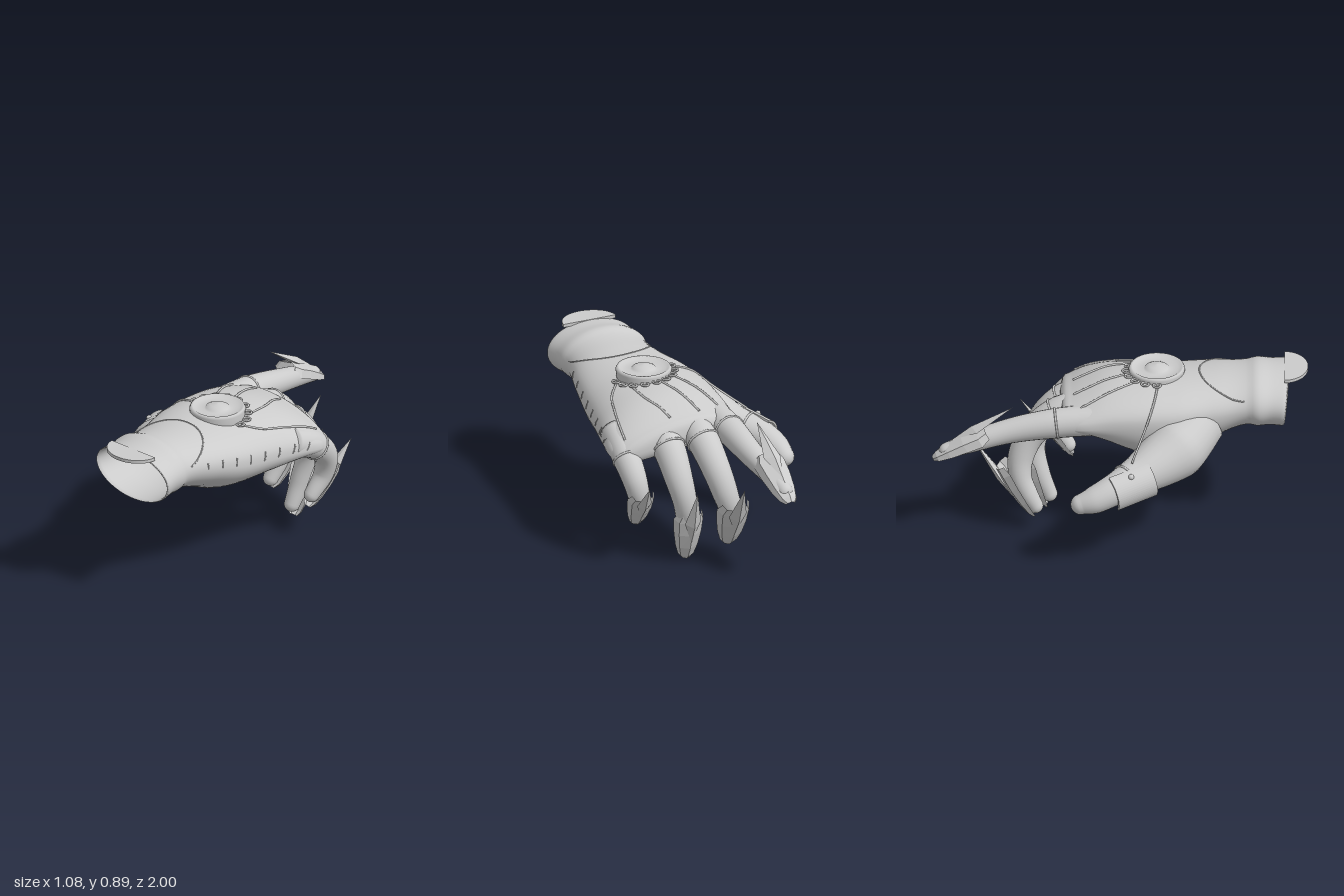
import * as THREE from 'three';
import { ConvexGeometry } from 'three/addons/geometries/ConvexGeometry.js';

const V = (x, y, z) => new THREE.Vector3(x, y, z);
const smooth = new THREE.MeshStandardMaterial({ color: 0xcccccc, side: THREE.DoubleSide });
const faceted = new THREE.MeshStandardMaterial({ color: 0xcccccc, side: THREE.DoubleSide, flatShading: true });

// Skin a list of cross-sections, closed rings or open strips
function loft(rings, closed = true) {
  const n = rings[0].length, pos = [], idx = [];
  rings.forEach(r => r.forEach(p => pos.push(p.x, p.y, p.z)));
  for (let i = 0; i < rings.length - 1; i++) {
    for (let j = 0; j < (closed ? n : n - 1); j++) {
      const a = i * n + j, b = i * n + (j + 1) % n;
      idx.push(a, a + n, b, b, a + n, b + n);
    }
  }
  const g = new THREE.BufferGeometry();
  g.setAttribute('position', new THREE.Float32BufferAttribute(pos, 3));
  g.setIndex(idx);
  g.computeVertexNormals();
  return g;
}

// Hand sections: z, left x, right x, centre y, height up, height down, tilt, droop, palm pad
const sections = [
  [0.875, -0.112, 0.397, 0.728, 0.144, 0.158, 0, 0, 0],
  [0.80, -0.105, 0.385, 0.73, 0.146, 0.155, 0, 0, 0],
  [0.715, -0.115, 0.382, 0.73, 0.157, 0.155, 0, 0, 0],
  [0.69, -0.103, 0.375, 0.73, 0.147, 0.15, 0, 0, 0],
  [0.5, -0.13, 0.41, 0.715, 0.145, 0.17, -0.005, 0.01, 0.05],
  [0.3, -0.185, 0.445, 0.69, 0.16, 0.19, -0.02, 0.02, 0.14],
  [0.1, -0.2, 0.48, 0.69, 0.155, 0.175, -0.03, 0.03, 0.13],
  [-0.08, -0.195, 0.518, 0.685, 0.138, 0.14, -0.035, 0.035, 0.05],
  [-0.2, -0.19, 0.535, 0.675, 0.108, 0.1, -0.04, 0.04, 0],
  [-0.27, -0.175, 0.515, 0.665, 0.088, 0.08, -0.045, 0.04, 0],
];
const sectionCurve = new THREE.CubicInterpolant(
  sections.map(s => -s[0]), sections.flatMap(s => s.slice(1)), 8, new Float32Array(8));

// Oval at the wrist, squarer across the back of the hand, fuller below on the thumb side
function handPoint(z, t, scale = 1, zOut = z) {
  const [x0, x1, yc, up, down, tilt, droop, pad] = sectionCurve.evaluate(-z);
  const u = Math.cos(t) * scale, s = Math.sin(t);
  const power = THREE.MathUtils.lerp(0.76, 1, THREE.MathUtils.smoothstep(z, 0.3, 0.65));
  const h = (s > 0 ? up * Math.pow(s, power) : (down + pad * (1 - u) / 2) * s) * scale;
  return V((x0 + x1) / 2 + u * (x1 - x0) / 2, yc + h + tilt * u - droop * u * u, zOut);
}
// Point on the back of the hand above x, z
function onBack(x, z, lift = 0.004) {
  const [x0, x1] = sectionCurve.evaluate(-z);
  const u = THREE.MathUtils.clamp((2 * x - x0 - x1) / (x1 - x0), -1, 1);
  const p = handPoint(z, Math.acos(u));
  p.y += lift;
  return p;
}

function handGeometry() {
  const rings = [];
  // the wrist opening leans back towards its lower edge
  const ring = (z, scale, zOut = z) => rings.push(Array.from({ length: 56 }, (_, j) => {
    const t = j / 56 * Math.PI * 2, p = handPoint(z, t, scale, zOut);
    p.z += 0.016 * (Math.sin(t) - 0.3) * THREE.MathUtils.smoothstep(z, 0.72, 0.875);
    return p;
  }));
  // hollow cuff, then the outside, then the rounded knuckle end
  [[0, 0.45], [0.5, 0.47], [0.8, 0.56], [0.92, 0.72], [0.95, 0.86]].forEach(([s, z]) => ring(0.875, s, z));
  ring(0.875, 0.975, 0.885);
  for (let i = 0; i <= 60; i++) ring(0.875 - i / 60 * 1.145, 1);
  [[0.95, -0.287], [0.8, -0.305], [0.5, -0.317], [0, -0.32]].forEach(([s, z]) => ring(-0.27, s, z));
  return loft(rings);
}

// Round limb along a path, with its own radius at every point and domed ends
function limb(points, radii, ref) {
  const curve = new THREE.CatmullRomCurve3(points.map(p => V(...p)));
  const last = radii.length - 1, rings = [];
  const frame = t => {
    const dir = curve.getTangent(t);
    const u = ref.clone().addScaledVector(dir, -ref.dot(dir)).normalize();
    const k = Math.min(Math.floor(t * last), last - 1);
    const r = THREE.MathUtils.lerp(radii[k], radii[k + 1], t * last - k);
    return { p: curve.getPoint(t), dir, u, v: u.clone().cross(dir), r };
  };
  const ring = (t, scale, push) => {
    const f = frame(t);
    rings.push(Array.from({ length: 24 }, (_, j) => {
      const a = j / 24 * Math.PI * 2;
      return f.p.clone().addScaledVector(f.dir, push * f.r)
        .addScaledVector(f.u, Math.cos(a) * f.r * scale).addScaledVector(f.v, Math.sin(a) * f.r * scale);
    }));
  };
  ring(0, 0, -0.3);
  for (let i = 0; i <= 32; i++) ring(i / 32, 1, 0);
  for (let i = 1; i <= 6; i++) ring(1, Math.cos(i / 6 * Math.PI / 2), Math.sin(i / 6 * Math.PI / 2));
  return { geometry: loft(rings), frame };
}

// Faceted fingertip shell with a spike running back from it
function claw(tip, spike, k) {
  const g = new THREE.Group(), back = spike.clone().sub(tip), length = back.length();
  back.normalize();
  const side = V(1, 0, 0).addScaledVector(back, -back.x).normalize();
  const out = back.clone().cross(side);
  const at = (s, w, h) => tip.clone().addScaledVector(back, s).addScaledVector(side, w).addScaledVector(out, h);
  const rows = [[0, 0.025, 0, 0.02], [0.03, 0.05, 0.012, 0.04], [0.1, 0.07, 0.02, 0.06],
    [0.2, 0.086, 0.02, 0.075], [0.29, 0.092, 0.01, 0.08], [0.34, 0.07, 0, 0.06]];
  const shell = new THREE.Mesh(loft(rows.map(([s, w, h, drop]) => [-1, -0.6, 0, 0.6, 1].map(a => {
    const ang = a * Math.PI / 2;
    return at(s * k, w * k * Math.sin(ang), (h - drop * (1 - Math.cos(ang))) * k);
  })), false), faceted);
  shell.name = 'clawShell';
  const point = new THREE.Mesh(new ConvexGeometry([
    at(0.15 * k, 0, 0.022 * k), at(0.3 * k, 0.05 * k, 0), at(0.3 * k, -0.05 * k, 0),
    at(0.28 * k, 0, 0.032 * k), at(0.3 * k, 0, -0.012 * k), at(length, 0, 0)]), faceted);
  point.name = 'clawSpike';
  g.add(shell, point);
  return g;
}

export function createModel() {
  const model = new THREE.Group();
  const add = (name, geometry, material = smooth, parent = model) => {
    const m = new THREE.Mesh(geometry, material);
    m.name = name;
    parent.add(m);
    return m;
  };
  const cord = (name, pts, r = 0.006) =>
    add(name, new THREE.TubeGeometry(new THREE.CatmullRomCurve3(pts), 32, r, 6));
  const hem = (name, f) => {
    const m = add(name, new THREE.TorusGeometry(f.r * 1.01, 0.006, 8, 28));
    m.position.copy(f.p);
    m.lookAt(f.p.clone().add(f.dir));
  };

  add('gloveHand', handGeometry());

  // Fingers with claws
  const fingers = [
    { name: 'index', pts: [[-0.095, 0.69, -0.1], [-0.105, 0.67, -0.36], [-0.115, 0.628, -0.6], [-0.143, 0.575, -0.8], [-0.158, 0.537, -0.92]],
      r: [0.085, 0.08, 0.066, 0.054, 0.043], hem: 0.23, tip: [-0.16, 0.505, -1], spike: [-0.157, 0.8, -0.57], k: 0.97 },
    { name: 'middle', pts: [[0.06, 0.7, -0.13], [0.052, 0.645, -0.33], [0.038, 0.535, -0.465], [0.01, 0.41, -0.525], [-0.02, 0.3, -0.53], [-0.035, 0.2, -0.49], [-0.042, 0.132, -0.45]],
      r: [0.085, 0.087, 0.078, 0.07, 0.06, 0.053, 0.042], hem: 0.18, tip: [-0.046, 0.07, -0.465], spike: [0.016, 0.52, -0.79], k: 1 },
    { name: 'ring', pts: [[0.23, 0.685, -0.11], [0.235, 0.615, -0.305], [0.232, 0.49, -0.42], [0.212, 0.36, -0.46], [0.187, 0.21, -0.43], [0.174, 0.08, -0.375]],
      r: [0.09, 0.088, 0.076, 0.064, 0.057, 0.043], hem: 0.2, tip: [0.173, 0.002, -0.4], spike: [0.2, 0.455, -0.595], k: 0.92 },
    { name: 'little', pts: [[0.43, 0.65, -0.06], [0.452, 0.59, -0.22], [0.446, 0.475, -0.335], [0.424, 0.36, -0.345], [0.4, 0.25, -0.275]],
      r: [0.085, 0.078, 0.066, 0.055, 0.042], hem: 0.3, tip: [0.397, 0.182, -0.255], spike: [0.453, 0.505, -0.535], k: 0.82 },
  ];
  for (const f of fingers) {
    const l = limb(f.pts, f.r, V(1, 0, 0));
    add(f.name + 'Finger', l.geometry);
    hem(f.name + 'Hem', l.frame(f.hem));
    const c = claw(V(...f.tip), V(...f.spike), f.k);
    c.name = f.name + 'Claw';
    model.add(c);
  }

  // Thumb
  const thumb = limb([[-0.02, 0.645, 0.43], [-0.17, 0.55, 0.29], [-0.33, 0.485, 0.1], [-0.43, 0.455, -0.03], [-0.475, 0.415, -0.14], [-0.485, 0.395, -0.21]],
    [0.14, 0.168, 0.108, 0.085, 0.074, 0.055], V(0, 1, 0));
  add('thumb', thumb.geometry);
  hem('thumbHem', thumb.frame(0.5));

  // Curved plate on the outside of the thumb
  const arc = new THREE.Shape();
  arc.absarc(0, 0, 0.106, -0.8, 1.4, false);
  arc.absarc(0, 0, 0.094, 1.4, -0.8, true);
  const plate = add('thumbPlate', new THREE.ExtrudeGeometry(arc, { depth: 0.23, bevelEnabled: false, curveSegments: 10 }), faceted);
  plate.position.set(-0.345, 0.48, 0.15);
  plate.lookAt(-0.45, 0.44, -0.07);
  const rivet = add('plateRivet', new THREE.SphereGeometry(0.016, 12, 8), smooth, plate);
  rivet.position.set(0.06, 0.085, 0.12);

  // Flap over the wrist opening
  const flapShape = new THREE.Shape();
  flapShape.absellipse(0.148, 0.872, 0.152, 0.126, 0, Math.PI, false);
  const flap = add('cuffFlap', new THREE.ExtrudeGeometry(flapShape, { depth: 0.018, bevelEnabled: false, curveSegments: 24 }), faceted);
  flap.rotation.x = Math.PI / 2;
  flap.position.y = 0.875;

  // Disc on the back of the hand with a ring of loops
  const disc = new THREE.Group();
  disc.name = 'medallion';
  disc.position.set(0.148, 0.842, 0.195);
  model.add(disc);
  const profile = [[0.145, -0.03], [0.15, 0.02], [0.143, 0.032], [0.132, 0.032], [0.115, 0.02], [0.07, 0.018], [0.062, 0.028], [0.04, 0.04], [0, 0.046]];
  add('medallionDisc', new THREE.LatheGeometry(profile.map(p => new THREE.Vector2(...p)), 40), smooth, disc);
  for (let i = 0; i <= 8; i++) {
    const a = Math.PI * i / 8;
    const loop = add('medallionLoop', new THREE.TorusGeometry(0.02, 0.006, 6, 14));
    loop.rotation.x = Math.PI / 2;
    loop.position.copy(onBack(0.148 + 0.162 * Math.cos(a), 0.195 - 0.162 * Math.sin(a), 0.008));
  }

  // Cords from the disc to the knuckles and the thumb plate
  const paths = [
    [[0.03, 0.08], [-0.04, -0.06], [-0.09, -0.18], [-0.11, -0.25]],
    [[0.12, 0.04], [0.08, -0.08], [0.05, -0.17], [0.03, -0.25]],
    [[0.27, 0.07], [0.26, -0.06], [0.22, -0.17], [0.2, -0.25]],
    [[0.31, 0.19], [0.38, 0.1], [0.42, -0.02], [0.45, -0.15], [0.46, -0.24]],
  ];
  paths.forEach(p => cord('knuckleCord', p.map(([x, z]) => onBack(x, z))));
  cord('thumbCord', [onBack(0, 0.2), onBack(-0.12, 0.18), V(-0.22, 0.725, 0.14), V(-0.39, 0.59, 0.06)]);

  // Arched seam behind the cuff and stitches down the outer edge
  cord('backSeam', Array.from({ length: 13 }, (_, i) => {
    const a = Math.PI * i / 12;
    return onBack(0.145 + 0.225 * Math.cos(a), 0.66 - 0.24 * Math.sin(a), 0);
  }), 0.004);
  for (let i = 0; i < 8; i++) {
    const z = 0.55 - i * 0.093;
    cord('edgeStitch', [0.02, 0.12, 0.25].map((t, j) => handPoint(z - j * 0.002 * i, t)), 0.004);
  }
  return model;
}
